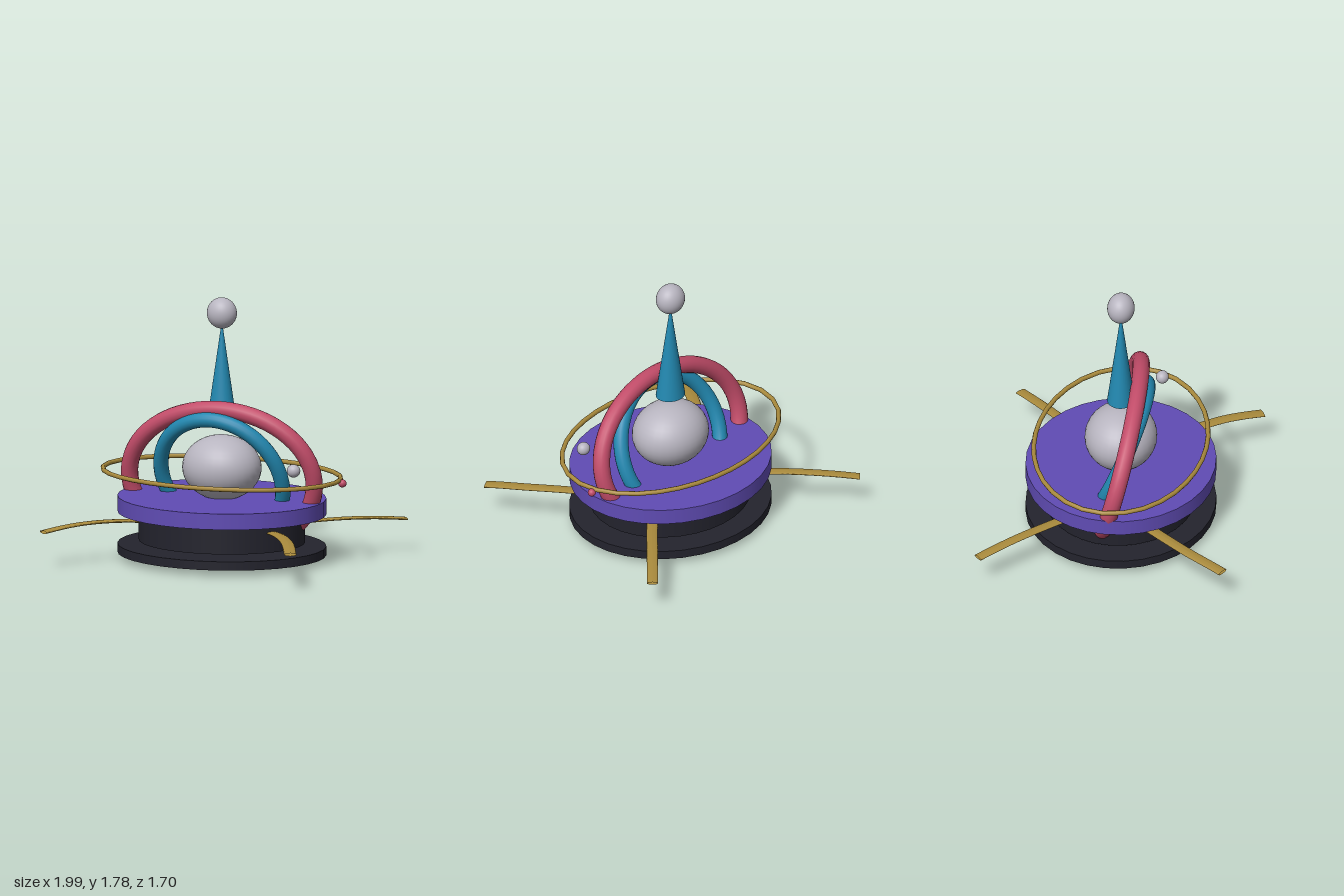
import * as THREE from 'three';

const paint = (name, color) => {
  const m = new THREE.MeshStandardMaterial({ color });
  m.name = name;
  return m;
};

// Closed ellipse spanned by two half-axis vectors
class EllipseLoop extends THREE.Curve {
  constructor(center, u, v) {
    super();
    Object.assign(this, { center, u, v });
  }
  getPoint(t, target = new THREE.Vector3()) {
    const a = t * Math.PI * 2;
    return target.copy(this.center).addScaledVector(this.u, Math.cos(a)).addScaledVector(this.v, Math.sin(a));
  }
}

export function createModel() {
  const group = new THREE.Group();
  const purple = paint('purple', 0x604cb4);
  const dark = paint('charcoal', 0x23232d);
  const gold = paint('gold', 0xa98a3c);
  const rose = paint('rose', 0xc24c69);
  const blue = paint('blue', 0x2288b0);
  const silver = paint('silver', 0xb8b5c0);
  gold.side = THREE.DoubleSide;

  const add = (name, geometry, material, x = 0, y = 0, z = 0) => {
    const mesh = new THREE.Mesh(geometry, material);
    mesh.name = name;
    mesh.position.set(x, y, z);
    group.add(mesh);
    return mesh;
  };
  const disc = (name, material, rx, rz, y0, y1) =>
    add(name, new THREE.CylinderGeometry(1, 1, y1 - y0, 32).scale(rx, 1, rz), material, 0, (y0 + y1) / 2, 0);
  const ball = (name, material, rx, ry, rz, x, y, z) =>
    add(name, new THREE.SphereGeometry(1, 32, 20).scale(rx, ry, rz), material, x, y, z);
  const ring = (name, material, y, u, v, r, segments, sides) =>
    add(name, new THREE.TubeGeometry(
      new EllipseLoop(new THREE.Vector3(0, y, 0), new THREE.Vector3(...u), new THREE.Vector3(...v)),
      segments, r, sides, true), material);

  // Stacked oval base
  disc('basePlate', dark, 0.715, 0.638, 0.045, 0.105);
  disc('drum', dark, 0.57, 0.507, 0.13, 0.302);
  disc('deck', purple, 0.715, 0.638, 0.322, 0.43);
  ring('collar', gold, 0.307, [0.58, 0, 0], [0, 0, -0.3], 0.021, 48, 10);

  // Core, spire and finial
  ball('core', silver, 0.272, 0.22, 0.243, 0, 0.63, 0);
  add('spire', new THREE.CylinderGeometry(0.006, 0.104, 0.665, 32).scale(1, 1, 0.89), blue, 0, 1.2575, 0);
  ball('finial', silver, 0.103, 0.105, 0.092, 0, 1.68, 0);

  // Tilted hoops and level orbit
  ring('outerHoop', rose, 0.553, [0.67, 0.037, -0.038], [0, 0.49, 0.123], 0.058, 64, 16);
  ring('innerHoop', blue, 0.558, [0.442, 0.005, -0.012], [0, 0.422, 0.175], 0.051, 56, 16);
  ring('orbit', gold, 0.59, [0.845, 0, 0], [0, 0, -0.578], 0.016, 32, 8);

  // Small orbiting beads
  ball('largeBead', silver, 0.046, 0.044, 0.043, 0.63, 0.687, 0.187);
  ball('smallBead', rose, 0.028, 0.027, 0.027, 0.845, 0.57, -0.115);

  // Flattened legs: a level tube, squashed, then lifted along an arc
  const leg = (name, side, plan, r, [h0, hMid, h1]) => {
    const steps = 20, sides = 12;
    const path = new THREE.CatmullRomCurve3(plan.map(([x, z]) => new THREE.Vector3(side * x, 0, z)));
    const geometry = new THREE.TubeGeometry(path, steps, r, sides, false);
    const p = geometry.attributes.position;
    for (let i = 0; i < p.count; i++) {
      const t = Math.floor(i / (sides + 1)) / steps;
      const lift = h0 * (1 - t) * (1 - 2 * t) + hMid * 4 * t * (1 - t) + h1 * t * (2 * t - 1);
      p.setY(i, p.getY(i) * 0.25 + lift);
    }
    geometry.computeVertexNormals();
    add(name, geometry, gold);
  };
  const frontPlan = [[0.42, 0.16], [0.5, 0.245], [0.62, 0.375], [0.78, 0.58], [0.925, 0.825]];
  const backPlan = [[0.38, -0.22], [0.57, -0.41], [0.77, -0.62], [0.968, -0.825]];
  for (const side of [1, -1]) {
    const label = side > 0 ? 'Left' : 'Right';
    leg('front' + label + 'Leg', side, frontPlan, 0.042, [0.25, 0.275, 0.246]);
    leg('back' + label + 'Leg', side, backPlan, 0.038, [0.238, 0.252, 0.224]);
  }
  return group;
}
